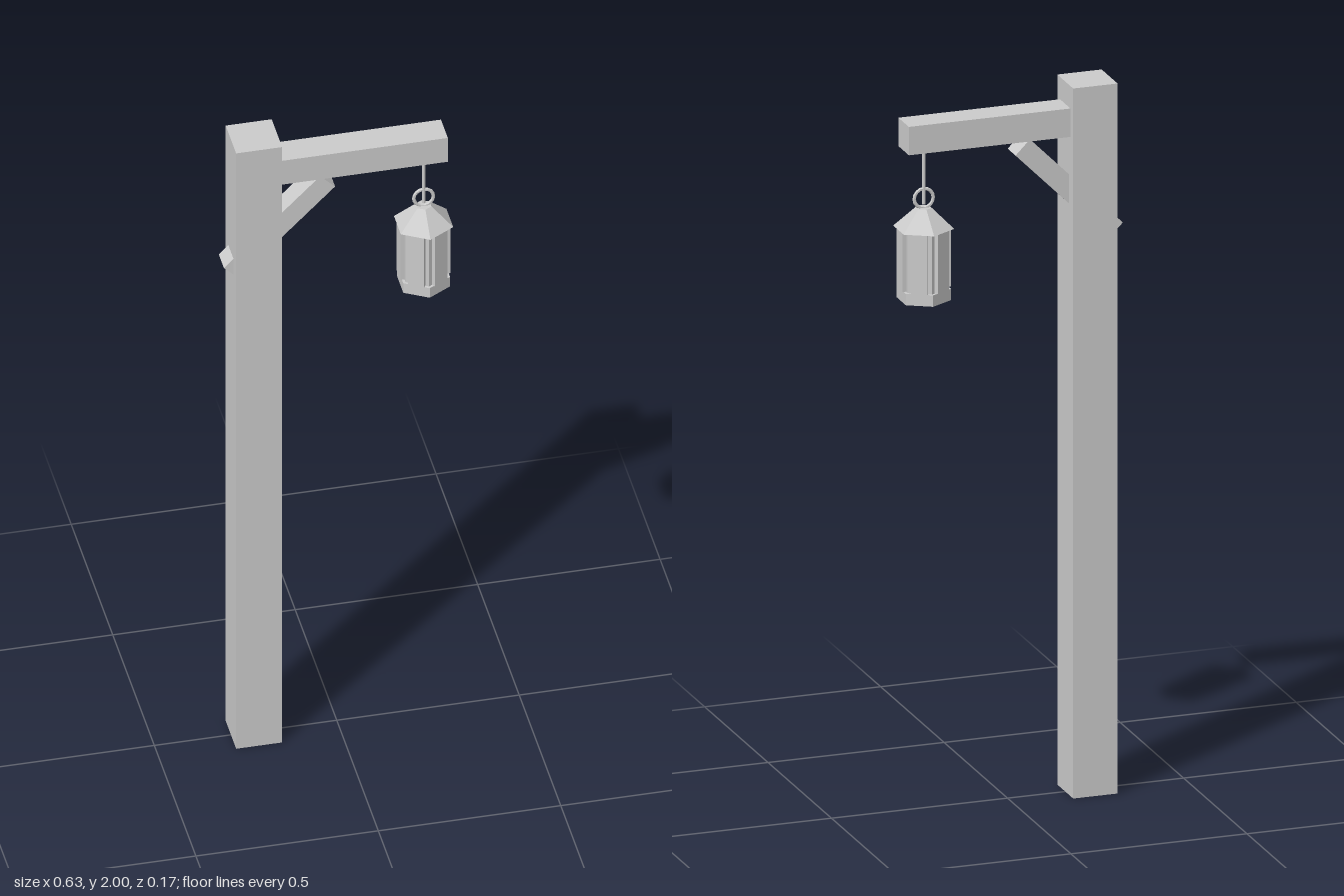
import * as THREE from 'three';

export function createModel() {
  const model = new THREE.Group();
  model.name = 'lanternPost';
  const grey = new THREE.MeshStandardMaterial({ color: 0xcccccc, flatShading: true });
  grey.name = 'plain grey';

  const add = (parent, name, geometry, x, y, z = 0) => {
    const mesh = new THREE.Mesh(geometry, grey);
    mesh.name = name;
    mesh.position.set(x, y, z);
    parent.add(mesh);
    return mesh;
  };
  const box = (w, h, d) => new THREE.BoxGeometry(w, h, d);
  // Six-sided prism or frustum with corners on the z axis
  const hex = (top, bottom, h) => new THREE.CylinderGeometry(top, bottom, h, 6);

  // Timber frame
  add(model, 'post', box(0.126, 2, 0.126), -0.227, 1);
  add(model, 'beam', box(0.47, 0.08, 0.083), 0.06, 1.897);
  const brace = add(model, 'brace', box(0.373, 0.058, 0.0625), -0.164, 1.707);
  brace.rotation.z = Math.PI / 4;

  // Hanging lantern
  const lantern = new THREE.Group();
  lantern.name = 'lantern';
  lantern.position.x = 0.238;
  model.add(lantern);
  add(lantern, 'hangingRod', new THREE.CylinderGeometry(0.005, 0.005, 0.16, 8), 0, 1.78);
  add(lantern, 'ring', new THREE.TorusGeometry(0.027, 0.005, 6, 16), 0, 1.717);
  add(lantern, 'roof', hex(0.022, 0.083, 0.056), 0, 1.663);
  add(lantern, 'body', hex(0.066, 0.066, 0.17), 0, 1.551);
  add(lantern, 'base', hex(0.074, 0.074, 0.032), 0, 1.45);

  // Raised panel on each side of the body
  for (let i = 0; i < 6; i++) {
    const a = (i * Math.PI) / 3;
    const panel = add(lantern, 'sidePanel', box(0.014, 0.168, 0.045),
      0.062 * Math.cos(a), 1.551, 0.062 * Math.sin(a));
    panel.rotation.y = -a;
  }
  return model;
}
